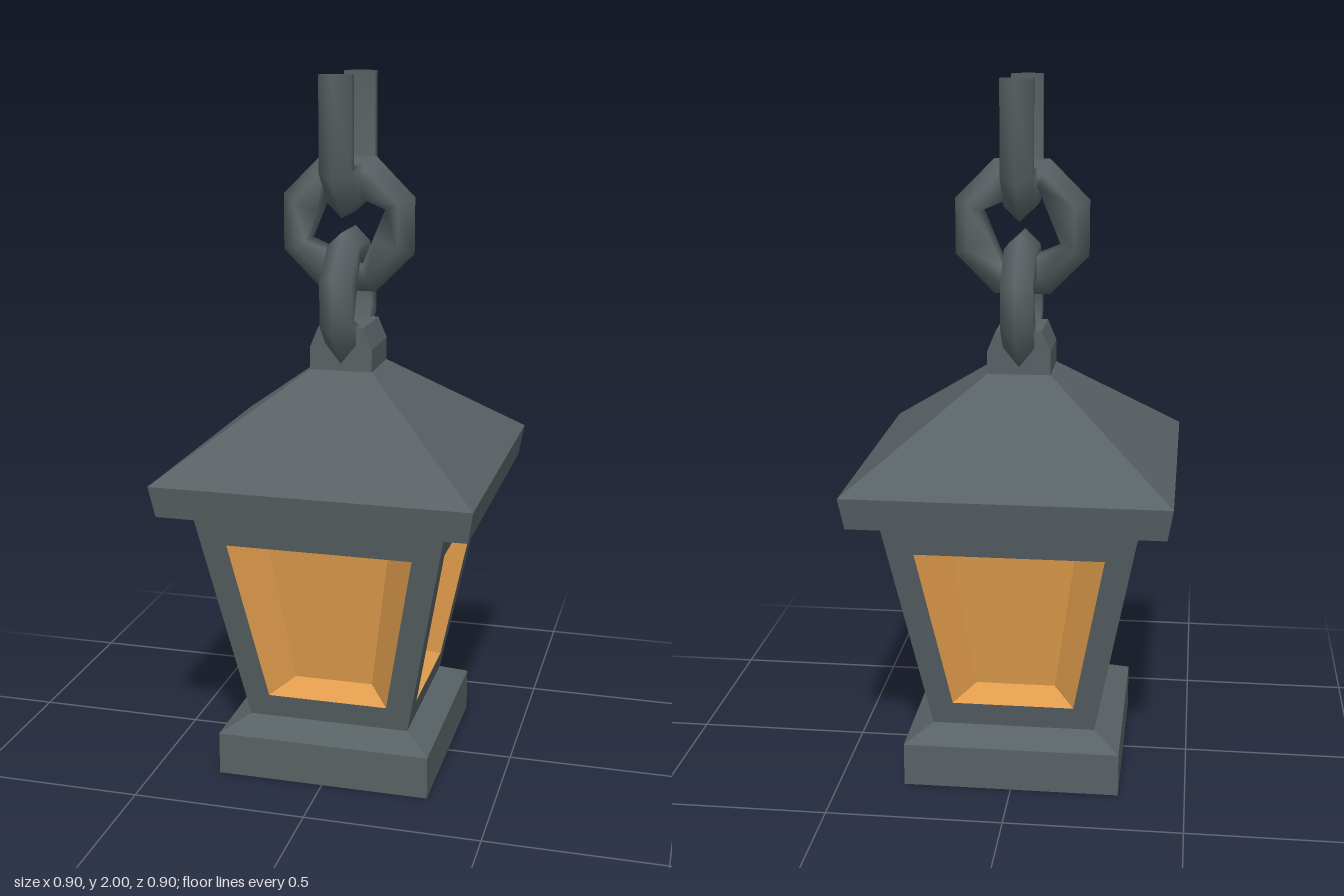
import * as THREE from 'three';

// Flat-shaded geometry from a list of four-cornered faces
function quads(faces) {
  const pos = faces.flatMap(([a, b, c, d]) => [a, b, c, a, c, d].flat());
  const g = new THREE.BufferGeometry();
  g.setAttribute('position', new THREE.Float32BufferAttribute(pos, 3));
  g.computeVertexNormals();
  return g;
}

// Band of faces between two loops of equal length
const band = (a, b) => a.map((p, i) => {
  const j = (i + 1) % a.length;
  return [p, a[j], b[j], b[i]];
});

// Square loft through [half width, height] stations, closed at both ends
function squareLoft(stations) {
  const loops = stations.map(([h, y]) => [[-h, y, h], [h, y, h], [h, y, -h], [-h, y, -h]]);
  const faces = [[...loops[0]].reverse(), loops[loops.length - 1]];
  for (let i = 0; i < loops.length - 1; i++) faces.push(...band(loops[i], loops[i + 1]));
  return quads(faces);
}

// Chain link cross-section: pointed outside, flat inside
const RIDGE = 0.206, SHOULDER = 0.163, INNER = 0.125, HALF = 0.045;
const polar = (r, t) => [r * Math.cos(t), r * Math.sin(t)];
const corner = (i) => Math.PI / 8 + i * Math.PI / 4;
const section = (ridge, shoulder, inner) => [
  [...ridge, 0], [...shoulder, HALF], [...inner, HALF], [...inner, -HALF], [...shoulder, -HALF],
];

// Smooth skin over a row of cross-sections
function skin(rows, closed) {
  const n = rows.length, m = rows[0].length, index = [];
  for (let i = 0; i < (closed ? n : n - 1); i++) {
    for (let j = 0; j < m; j++) {
      const k = (i + 1) % n, l = (j + 1) % m;
      const a = i * m + j, b = k * m + j, c = k * m + l, d = i * m + l;
      index.push(a, b, c, a, c, d);
    }
  }
  const g = new THREE.BufferGeometry();
  g.setAttribute('position', new THREE.Float32BufferAttribute(rows.flat(2), 3));
  g.setIndex(index);
  g.computeVertexNormals();
  return g;
}

// Eight-sided link with a square hole
function closedLink() {
  const rows = [];
  for (let i = 0; i < 8; i++) {
    const t = corner(i);
    const r = i % 2 ? INNER * Math.SQRT1_2 : INNER;
    rows.push(section(polar(RIDGE, t), polar(SHOULDER, t), polar(r, t)));
  }
  return skin(rows, true);
}

// Lower half of a link with straight, open arms
function openLink(top) {
  const c = Math.cos(Math.PI / 8), s = Math.sin(Math.PI / 8);
  const arm = (side) => section([side * RIDGE * c, top], [side * SHOULDER * c, top], [side * INNER * c, top]);
  const innerX = [-INNER * c, -0.04, 0.04, INNER * c];
  const rows = [arm(-1)];
  innerX.forEach((x, i) => {
    const t = corner(4 + i);
    rows.push(section(polar(RIDGE, t), polar(SHOULDER, t), [x, -INNER * s]));
  });
  rows.push(arm(1));
  return skin(rows, false);
}

export function createModel() {
  const iron = new THREE.MeshStandardMaterial({ color: 0x586164, side: THREE.DoubleSide });
  iron.name = 'dark iron';
  const amber = new THREE.MeshStandardMaterial({ color: 0xe09c4c });
  amber.name = 'amber glass';

  const model = new THREE.Group();
  model.name = 'hangingLantern';
  const add = (name, geometry, material, parent = model) => {
    const mesh = new THREE.Mesh(geometry, material);
    mesh.name = name;
    parent.add(mesh);
    return mesh;
  };

  // Base and roof
  add('base', squareLoft([[0.31, 0], [0.31, 0.125], [0.235, 0.165]]), iron);
  add('roof', squareLoft([[0.35, 0.795], [0.435, 0.82], [0.45, 0.91], [0.09, 1.18]]), iron);

  // Four tapered sides, each a frame around a recessed pane
  const wall = (y) => 0.235 + (y - 0.165) * 0.12 / 0.63;
  const trapezoid = (y0, h0, z0, y1, h1, z1) =>
    [[-h0, y0, z0], [h0, y0, z0], [h1, y1, z1], [-h1, y1, z1]];
  const outer = trapezoid(0.165, 0.235, 0.235, 0.795, 0.355, 0.355);
  const opening = trapezoid(0.235, 0.175, wall(0.235), 0.72, 0.265, wall(0.72));
  const pane = trapezoid(0.27, 0.115, 0.175, 0.69, 0.175, 0.235);
  const frameGeometry = quads(band(outer, opening));
  const glassGeometry = quads([...band(opening, pane), pane]);
  ['front', 'left', 'back', 'right'].forEach((side, i) => {
    const group = new THREE.Group();
    group.name = side + 'Side';
    group.rotation.y = i * Math.PI / 2;
    add(side + 'Frame', frameGeometry, iron, group);
    add(side + 'Window', glassGeometry, amber, group);
    model.add(group);
  });

  // Chamfered block on the peak
  const profile = [[-0.09, 1.17], [0.09, 1.17], [0.09, 1.245], [0.065, 1.305], [-0.065, 1.305], [-0.09, 1.245]];
  const shape = new THREE.Shape(profile.map(([x, y]) => new THREE.Vector2(x, y)));
  const block = new THREE.ExtrudeGeometry(shape, { depth: 0.18, bevelEnabled: false });
  add('hangerBlock', block.translate(0, 0, -0.09), iron);

  // Chain, alternate links turned a quarter
  const link = closedLink();
  const chain = new THREE.Group();
  chain.name = 'chain';
  model.add(chain);
  const lower = add('lowerLink', link, iron, chain);
  lower.position.y = 1.38;
  lower.rotation.y = Math.PI / 2;
  add('middleLink', link, iron, chain).position.y = 1.585;
  const upper = add('upperOpenLink', openLink(0.2), iron, chain);
  upper.position.y = 1.8;
  upper.rotation.y = Math.PI / 2;

  return model;
}
